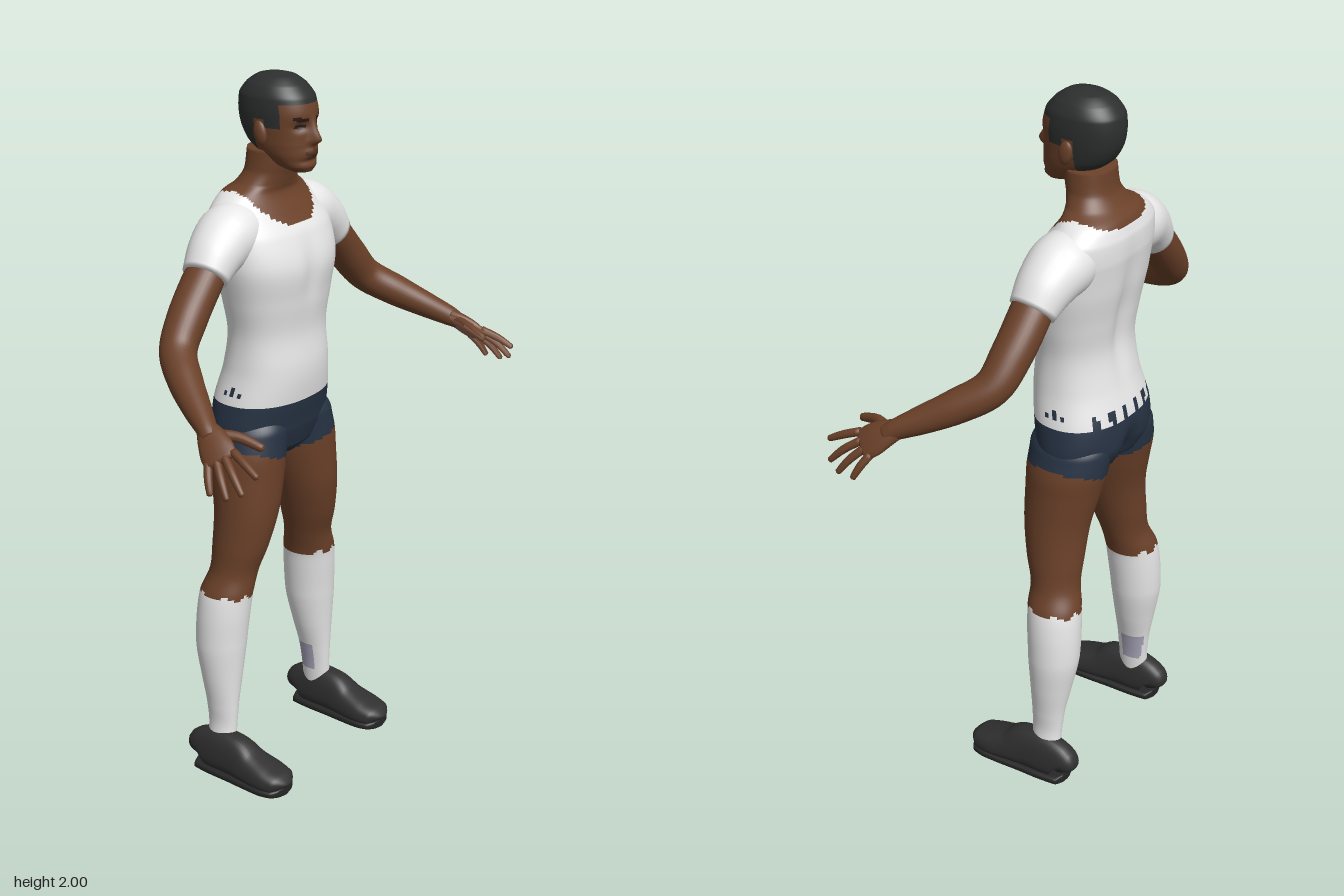
import * as THREE from 'three';

const mat = (name, color) => Object.assign(new THREE.MeshStandardMaterial({ color }), { name });
const V = (x, y, z) => new THREE.Vector3(x, y, z);
const bump = (d, w) => Math.exp(-((d / w) ** 2));

// Smooth closed loft through rows [x, y, z, radiusU, radiusV].
// Without ref the rings lie flat and rows must go up; with ref they follow the path.
// paint(centre, normal) gives the material index of a face.
function loft(rows, { steps = 6, n = 32, ref, p = 1, warp, paint } = {}) {
  const path = new THREE.CatmullRomCurve3(rows.map(r => V(r[0], r[1], r[2])));
  const radii = new THREE.CatmullRomCurve3(rows.map(r => V(r[3], r[4], 0)));
  const N = (rows.length - 1) * steps, pts = [];
  const pow = c => Math.sign(c) * Math.abs(c) ** p;
  for (let i = 0; i <= N; i++) {
    const c = path.getPoint(i / N), r = radii.getPoint(i / N);
    const t = ref ? path.getTangent(i / N) : V(0, 1, 0);
    const u = (ref ? ref.clone() : V(1, 0, 0)).addScaledVector(t, ref ? -ref.dot(t) : 0).normalize();
    const v = t.clone().cross(u);
    for (let j = 0; j < n; j++) {
      const a = (j / n) * Math.PI * 2;
      const q = c.clone()
        .addScaledVector(u, Math.max(r.x, 0.001) * pow(Math.cos(a)))
        .addScaledVector(v, Math.max(r.y, 0.001) * pow(Math.sin(a)));
      if (warp) warp(q, c);
      pts.push(q);
    }
  }
  const faces = [];
  const add = (tris, corners) => {
    const [a, b, c] = corners.map(k => pts[k]);
    const centre = a.clone().add(c).multiplyScalar(0.5);
    const normal = b.clone().sub(a).cross(c.clone().sub(a)).normalize();
    const k = paint ? paint(centre, normal) : 0;
    (faces[k] ??= []).push(...tris);
  };
  for (let i = 0; i < N; i++) for (let j = 0; j < n; j++) {
    const a = i * n + j, b = i * n + (j + 1) % n, c = b + n, d = a + n;
    add([a, b, c, a, c, d], [a, b, c]);
  }
  // end caps
  for (const [base, flip] of [[0, true], [N * n, false]]) {
    const mid = pts.length, m = V(0, 0, 0);
    for (let j = 0; j < n; j++) m.addScaledVector(pts[base + j], 1 / n);
    pts.push(m);
    for (let j = 0; j < n; j++) {
      const a = base + j, b = base + (j + 1) % n, tri = flip ? [mid, b, a] : [mid, a, b];
      add(tri, tri);
    }
  }
  const g = new THREE.BufferGeometry().setFromPoints(pts);
  const index = [];
  faces.forEach((f, k) => {
    if (paint) g.addGroup(index.length, f.length, k);
    for (const i of f) index.push(i);
  });
  g.setIndex(index);
  g.computeVertexNormals();
  return g;
}

function mirrored(geo) {
  const g = geo.clone(), ix = g.index.array;
  g.scale(-1, 1, 1);
  for (let i = 0; i < ix.length; i += 3) [ix[i], ix[i + 1]] = [ix[i + 1], ix[i]];
  g.computeVertexNormals();
  return g;
}

export function createModel() {
  const model = new THREE.Group();
  model.name = 'standingMan';
  const skin = mat('skin', 0x6b4129), palmSkin = mat('palm skin', 0x93664f), lip = mat('lips', 0x52301f);
  const white = mat('white cloth', 0xececec), navy = mat('navy cloth', 0x273344), stain = mat('grey lilac', 0xaaa7bb);
  const hair = mat('hair', 0x2d2f2f), shoe = mat('shoe leather', 0x303030), sole = mat('sole', 0x262626);
  const dark = mat('eyes and brows', 0x2a1a13);

  const part = (name, geo, m) => {
    const mesh = new THREE.Mesh(geo, m);
    mesh.name = name;
    model.add(mesh);
  };
  const both = (name, geo, m) => {
    part(name + 'Left', geo, m);
    part(name + 'Right', mirrored(geo), m);
  };

  // torso: shorts, shirt with scooped neckline, neck
  part('torso', loft([
    [0, 0.94, -0.13, 0.05, 0.06], [0, 0.97, -0.14, 0.145, 0.1], [0, 1.03, -0.146, 0.195, 0.124],
    [0, 1.1, -0.14, 0.187, 0.13], [0, 1.2, -0.122, 0.166, 0.122], [0, 1.3, -0.117, 0.16, 0.109],
    [0, 1.4, -0.117, 0.178, 0.119], [0, 1.5, -0.122, 0.2, 0.131], [0, 1.58, -0.14, 0.205, 0.122],
    [0, 1.64, -0.16, 0.19, 0.1], [0, 1.68, -0.165, 0.145, 0.08], [0, 1.705, -0.15, 0.1, 0.068],
    [0, 1.74, -0.135, 0.078, 0.062], [0, 1.8, -0.125, 0.072, 0.065],
  ], {
    steps: 8, n: 80, p: 0.9,
    warp: (q, c) => {
      if (q.z < c.z) q.z += bump(q.x, 0.03) * (0.016 * bump(q.y - 1.4, 0.16) + 0.03 * bump(q.y - 1, 0.06));
      else q.z -= 0.01 * bump(q.x, 0.03) * bump(q.y - 1.48, 0.08);
    },
    paint: c => {
      const x = Math.abs(c.x), dip = Math.sqrt(Math.max(0, 1 - (x / 0.127) ** 2));
      if (c.y > 1.7 - (c.z > -0.15 ? 0.1 : 0.035) * dip) return 0;
      const hip = Math.abs(c.z + 0.14) < 0.028 && Math.abs(c.y - 1.15) < 0.016 && Math.sin(c.z * 260) + Math.sin(c.y * 330) > -0.2;
      const back = c.z < -0.2 && c.y < 1.145 && Math.abs((x % 0.05) - 0.025) < 0.008;
      return c.y < 1.108 || hip || back ? 2 : 1;
    },
  }), [skin, white, navy]);

  // head with hair, brows, eyes and lips
  const headRow = (y, rx, front, back) => [0, y, (front + back) / 2, rx, (front - back) / 2];
  part('head', loft([
    headRow(1.745, 0.028, -0.005, -0.06), headRow(1.76, 0.05, 0.003, -0.1), headRow(1.79, 0.068, 0.003, -0.15),
    headRow(1.82, 0.077, 0.003, -0.19), headRow(1.86, 0.082, 0.003, -0.213), headRow(1.9, 0.085, 0.005, -0.22),
    headRow(1.94, 0.083, -0.005, -0.217), headRow(1.97, 0.068, -0.03, -0.195), headRow(1.99, 0.043, -0.06, -0.165),
    headRow(2, 0.004, -0.105, -0.117),
  ], {
    steps: 9, n: 120, p: 0.92,
    warp: q => {
      if (q.z < -0.06) return;
      const x = Math.abs(q.x), y = q.y;
      q.z += 0.026 * bump(x, 0.012) * bump(y - 1.838, 0.018) + 0.012 * bump(x, 0.011) * bump(y - 1.865, 0.02)
        + 0.008 * bump(x, 0.018) * bump(y - 1.829, 0.009) + 0.01 * bump(x, 0.026) * bump(y - 1.798, 0.014)
        - 0.011 * bump(x - 0.034, 0.017) * bump(y - 1.868, 0.012) - 0.006 * bump(x, 0.04) * bump(y - 1.776, 0.007);
    },
    paint: c => {
      const x = Math.abs(c.x), z = c.z;
      const hairline = z > -0.05 ? 1.927 : z > -0.09 ? 1.865 : z > -0.125 ? 1.885 : 1.795;
      if (c.y > hairline) return 1;
      if (z < -0.06) return 0;
      const eye = ((x - 0.034) / 0.016) ** 2 + ((c.y - 1.868) / 0.006) ** 2 < 1;
      const brow = x > 0.014 && x < 0.056 && Math.abs(c.y - 1.888 - 0.1 * (x - 0.035)) < 0.005;
      if (eye || brow) return 2;
      return (x / 0.028) ** 2 + ((c.y - 1.798) / 0.01) ** 2 < 1 ? 3 : 0;
    },
  }), [skin, hair, dark, lip]);
  both('ear', new THREE.SphereGeometry(1, 16, 12).scale(0.012, 0.033, 0.02).rotateX(-0.2).translate(0.083, 1.85, -0.105), skin);

  // sleeves and arms
  both('sleeve', loft([
    [0.08, 1.585, -0.15, 0.08, 0.08], [0.16, 1.585, -0.15, 0.088, 0.085],
    [0.225, 1.553, -0.145, 0.078, 0.074], [0.28, 1.5, -0.14, 0.064, 0.057],
  ], { ref: V(0, 0, 1) }), white);
  both('arm', loft([
    [0.24, 1.545, -0.14, 0.05, 0.045], [0.29, 1.49, -0.14, 0.057, 0.051], [0.36, 1.41, -0.135, 0.055, 0.052],
    [0.42, 1.34, -0.118, 0.05, 0.048], [0.475, 1.29, -0.05, 0.046, 0.045], [0.525, 1.245, 0.03, 0.037, 0.036],
    [0.56, 1.213, 0.09, 0.027, 0.028], [0.572, 1.2, 0.11, 0.026, 0.022],
  ], { ref: V(0, 0, 1) }), skin);

  // hands, paler on the palm side
  const across = V(-0.42, 0.43, 0.8), palmDir = V(-0.76, -0.64, -0.05);
  const palmPaint = (c, nrm) => (nrm.dot(palmDir) > 0.45 ? 1 : 0);
  const handLoft = rows => loft(rows, { ref: across, n: 16, steps: 4, paint: palmPaint });
  both('palm', handLoft([
    [0.555, 1.217, 0.082, 0.027, 0.024], [0.572, 1.2, 0.112, 0.04, 0.02],
    [0.587, 1.18, 0.14, 0.047, 0.018], [0.599, 1.164, 0.163, 0.044, 0.013], [0.602, 1.16, 0.168, 0.03, 0.006],
  ]), [skin, palmSkin]);
  const digits = {
    indexFinger: [[0.578, 1.186, 0.185], [0.592, 1.168, 0.232], [0.6, 1.146, 0.274]],
    middleFinger: [[0.592, 1.174, 0.168], [0.616, 1.142, 0.213], [0.629, 1.104, 0.25]],
    ringFinger: [[0.602, 1.163, 0.15], [0.628, 1.127, 0.185], [0.643, 1.088, 0.213]],
    littleFinger: [[0.61, 1.152, 0.13], [0.632, 1.12, 0.148], [0.645, 1.088, 0.163]],
    thumb: [[0.56, 1.207, 0.105], [0.532, 1.205, 0.165], [0.518, 1.186, 0.228]],
  };
  for (const [name, [a, b, c]] of Object.entries(digits)) {
    const r = name === 'thumb' ? 0.015 : 0.0115;
    const end = c.map((v, i) => v + (c[i] - b[i]) * 0.1);
    both(name, handLoft([[...a, r, r], [...b, r * 0.95, r * 0.9], [...c, r * 0.7, r * 0.65], [...end, 0.002, 0.002]]), [skin, palmSkin]);
  }

  // legs: sock, bare thigh, leg of the shorts
  both('leg', loft([
    [0.233, 0.08, -0.15, 0.034, 0.043], [0.225, 0.15, -0.15, 0.032, 0.045], [0.222, 0.22, -0.152, 0.04, 0.05],
    [0.217, 0.3, -0.157, 0.056, 0.06], [0.211, 0.4, -0.162, 0.071, 0.073], [0.203, 0.5, -0.158, 0.074, 0.077],
    [0.194, 0.56, -0.153, 0.072, 0.077], [0.174, 0.62, -0.142, 0.067, 0.07], [0.157, 0.7, -0.13, 0.075, 0.082],
    [0.138, 0.8, -0.123, 0.086, 0.094], [0.122, 0.9, -0.131, 0.096, 0.107], [0.113, 0.97, -0.138, 0.1, 0.115],
    [0.1, 1.03, -0.141, 0.098, 0.116], [0.095, 1.08, -0.14, 0.07, 0.09],
  ], {
    steps: 8, n: 48,
    paint: c => {
      if (c.y > 0.935 + 0.3 * (c.x - 0.02)) return 2;
      if (c.y > 0.558 + 0.008 * Math.sin(c.x * 130)) return 0;
      return c.y > 0.14 && c.y < 0.225 && c.x < 0.207 && c.z < -0.135 ? 3 : 1;
    },
  }), [skin, white, navy, stain]);

  // shoes: [z, height, half width] from heel to toe
  const last = [[-0.222, 0.06, 0.02], [-0.212, 0.105, 0.042], [-0.15, 0.128, 0.05], [-0.085, 0.122, 0.053],
    [-0.035, 0.092, 0.057], [0.025, 0.07, 0.06], [0.065, 0.056, 0.052], [0.08, 0.042, 0.032], [0.084, 0.034, 0.012]];
  both('shoe', loft(last.map(([z, h, w]) => [0.238, h / 2 + 0.008, z, w, h / 2]), {
    ref: V(1, 0, 0), p: 0.75,
    warp: (q, c) => { q.x = c.x + (q.x - c.x) * (1.04 - 2.6 * Math.max(0, q.y - 0.02)); },
  }), shoe);
  both('sole', loft(last.map(([z, , w]) => [0.238, 0.013, z * 1.01, w * 1.05, 0.013]), { ref: V(1, 0, 0), p: 0.6 }), sole);

  return model;
}
